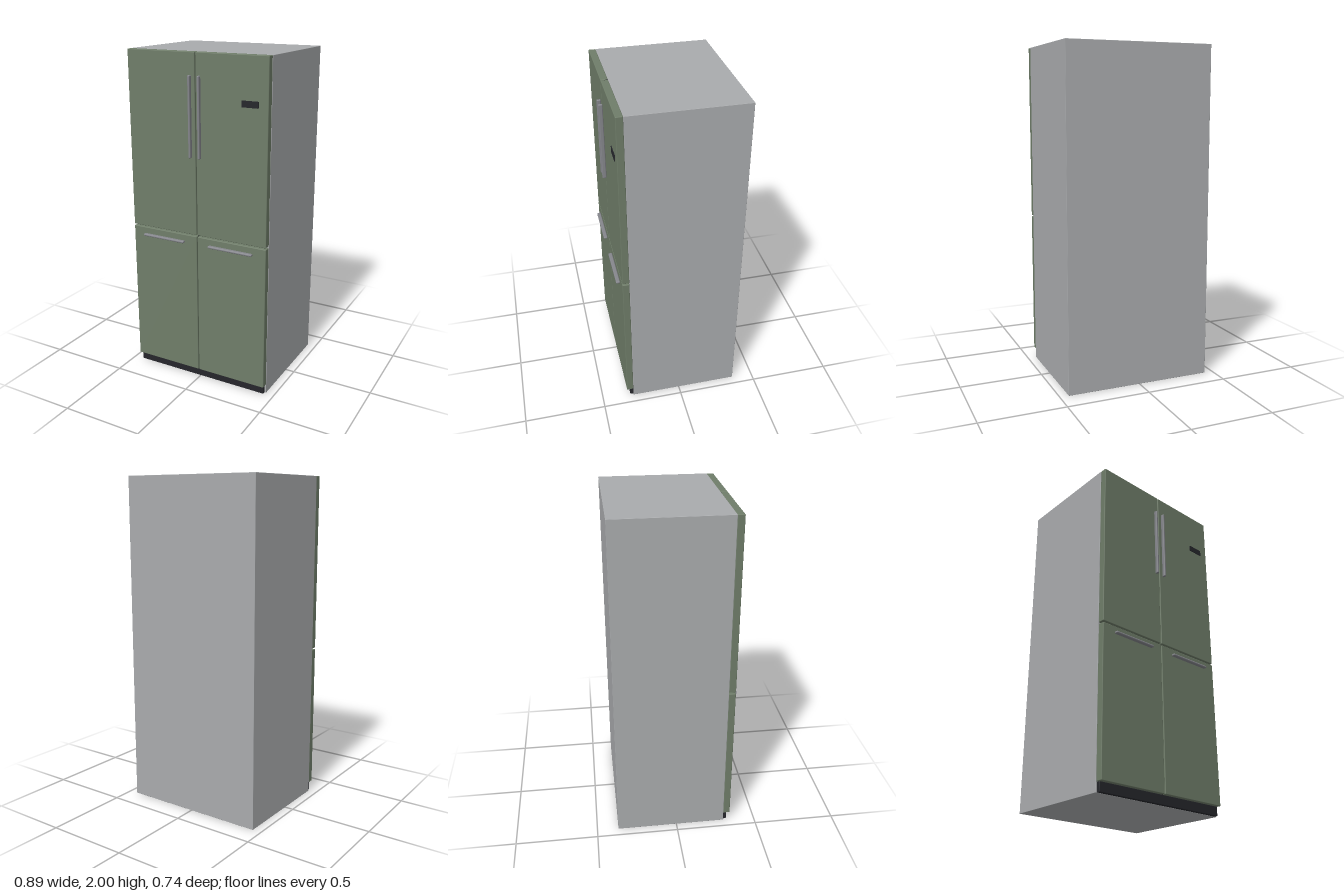
import * as THREE from 'three';
import { RoundedBoxGeometry } from 'three/addons/geometries/RoundedBoxGeometry.js';

const material = (name, color) => {
  const m = new THREE.MeshStandardMaterial({ color });
  m.name = name;
  return m;
};

// Softly rounded box given by its minimum and maximum corners
function block(name, mat, min, max, radius, segments = 2) {
  const size = max.map((v, i) => v - min[i]);
  const mesh = new THREE.Mesh(new RoundedBoxGeometry(...size, segments, radius), mat);
  mesh.position.set(...max.map((v, i) => (v + min[i]) / 2));
  mesh.name = name;
  return mesh;
}

// Same box on the left (+x) or right (-x) side
function sided(side, name, mat, [x0, y0, z0], [x1, y1, z1], radius, segments) {
  const xs = [side * x0, side * x1].sort((a, b) => a - b);
  return block((side > 0 ? 'left' : 'right') + name, mat, [xs[0], y0, z0], [xs[1], y1, z1], radius, segments);
}

export function createModel() {
  const grey = material('cabinet grey', 0xa9abad);
  const green = material('door sage green', 0x6f7d69);
  const steel = material('handle steel', 0x85868c);
  const dark = material('dark trim', 0x25262b);

  const model = new THREE.Group();
  model.name = 'refrigerator';

  // Cabinet
  model.add(block('cabinet', grey, [-0.447, 0, -0.368], [0.447, 2, 0.302], 0.002));

  // Base plinth and the dark strip behind the middle door gap
  model.add(block('kickPlate', dark, [-0.438, 0.002, 0.295], [0.438, 0.056, 0.322], 0.002));
  model.add(block('centreStrip', dark, [-0.005, 0.056, 0.3], [0.005, 1.998, 0.322], 0.001));

  // Doors and handles, mirrored left and right
  for (const side of [-1, 1]) {
    model.add(
      sided(side, 'UpperDoor', green, [0.003, 0.948, 0.302], [0.446, 2, 0.343], 0.004),
      sided(side, 'LowerDoor', green, [0.003, 0.056, 0.302], [0.446, 0.939, 0.343], 0.004),
      sided(side, 'UpperHandle', steel, [0.023, 1.412, 0.343], [0.037, 1.876, 0.367], 0.006, 3),
      sided(side, 'LowerHandle', steel, [0.082, 0.889, 0.343], [0.366, 0.903, 0.367], 0.006, 3)
    );
  }

  // Control display on the left upper door
  const display = new THREE.Mesh(new THREE.BoxGeometry(0.1, 0.036, 0.006), dark);
  display.name = 'display';
  display.position.set(0.339, 1.743, 0.344);
  model.add(display);

  return model;
}
